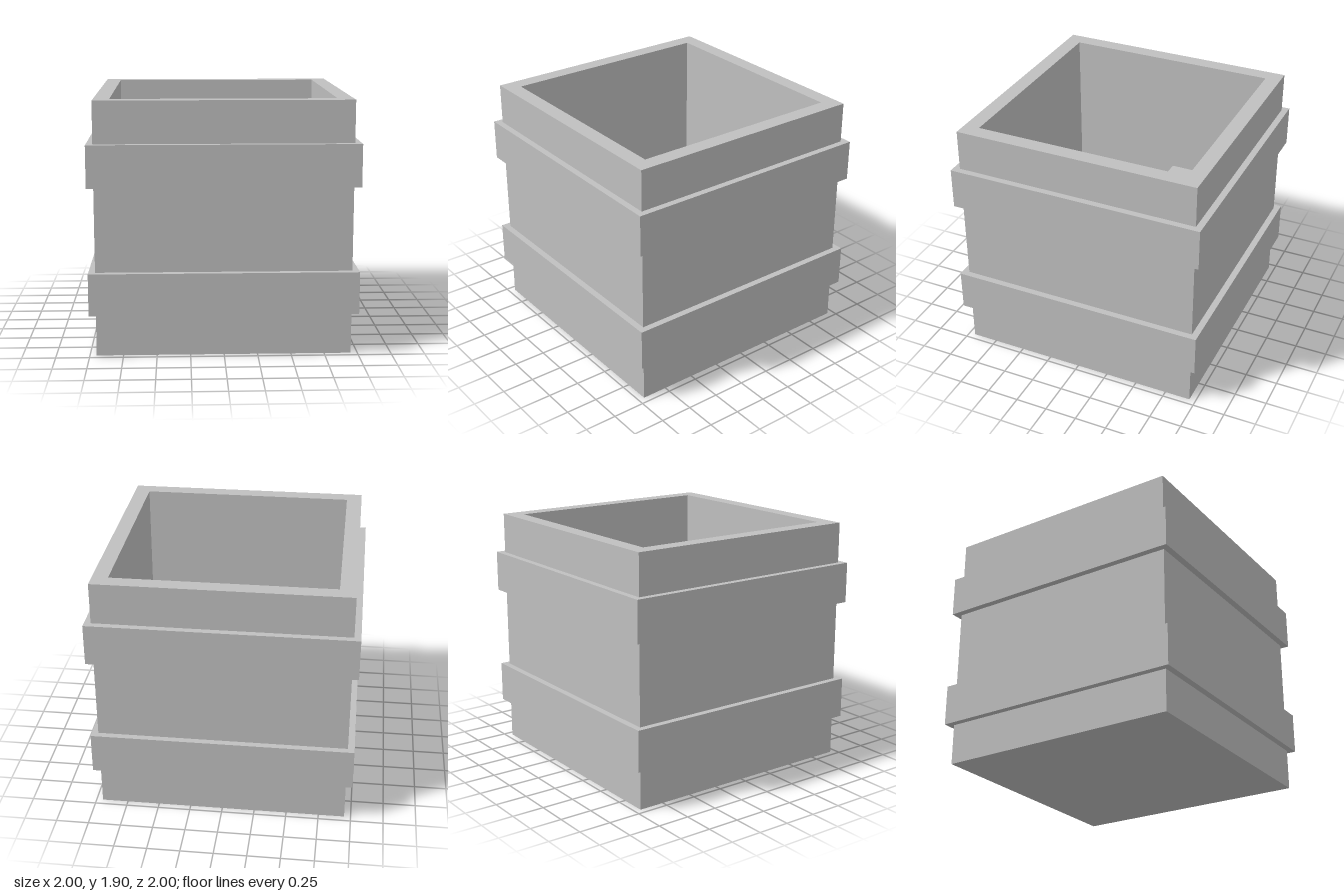
import * as THREE from 'three';

export function createModel() {
  const model = new THREE.Group();
  model.name = 'bandedCrate';
  const grey = new THREE.MeshStandardMaterial({ color: 0xbfbfbf, flatShading: true });
  grey.name = 'crateGrey';

  // Square turned form: profile points are [half width, height]
  const squareLathe = (name, profile) => {
    const points = profile.map(([r, y]) => new THREE.Vector2(r * Math.SQRT2, y));
    const mesh = new THREE.Mesh(new THREE.LatheGeometry(points, 4, Math.PI / 4), grey);
    mesh.name = name;
    model.add(mesh);
  };

  // Open-topped shell: underside, outer wall, rim, inner wall, floor
  squareLathe('crateShell', [[0, 0], [0.95, 0], [0.95, 1.9], [0.83, 1.9], [0.83, 0.12], [0, 0.12]]);

  // Two bands around the outside
  for (const [name, y] of [['lowerBand', 0.317], ['upperBand', 1.268]]) {
    squareLathe(name, [[0.94, y], [1, y], [1, y + 0.317], [0.94, y + 0.317]]);
  }

  // Two packed boxes in the back corners, each with a pair of bands
  const addBox = (name, parent, side, edge, y0, y1) => {
    const width = 0.84 - edge;
    const mesh = new THREE.Mesh(new THREE.BoxGeometry(width, y1 - y0, width), grey);
    mesh.position.set(side * (edge + width / 2), (y0 + y1) / 2, -(edge + width / 2));
    mesh.name = name;
    parent.add(mesh);
  };
  for (const side of [-1, 1]) {
    const box = new THREE.Group();
    box.name = side > 0 ? 'leftInnerBox' : 'rightInnerBox';
    addBox('innerBoxBody', box, side, 0.052, 0.11, 0.9);
    addBox('innerBoxLowerBand', box, side, 0.027, 0.25, 0.38);
    addBox('innerBoxUpperBand', box, side, 0.027, 0.64, 0.77);
    model.add(box);
  }
  return model;
}
